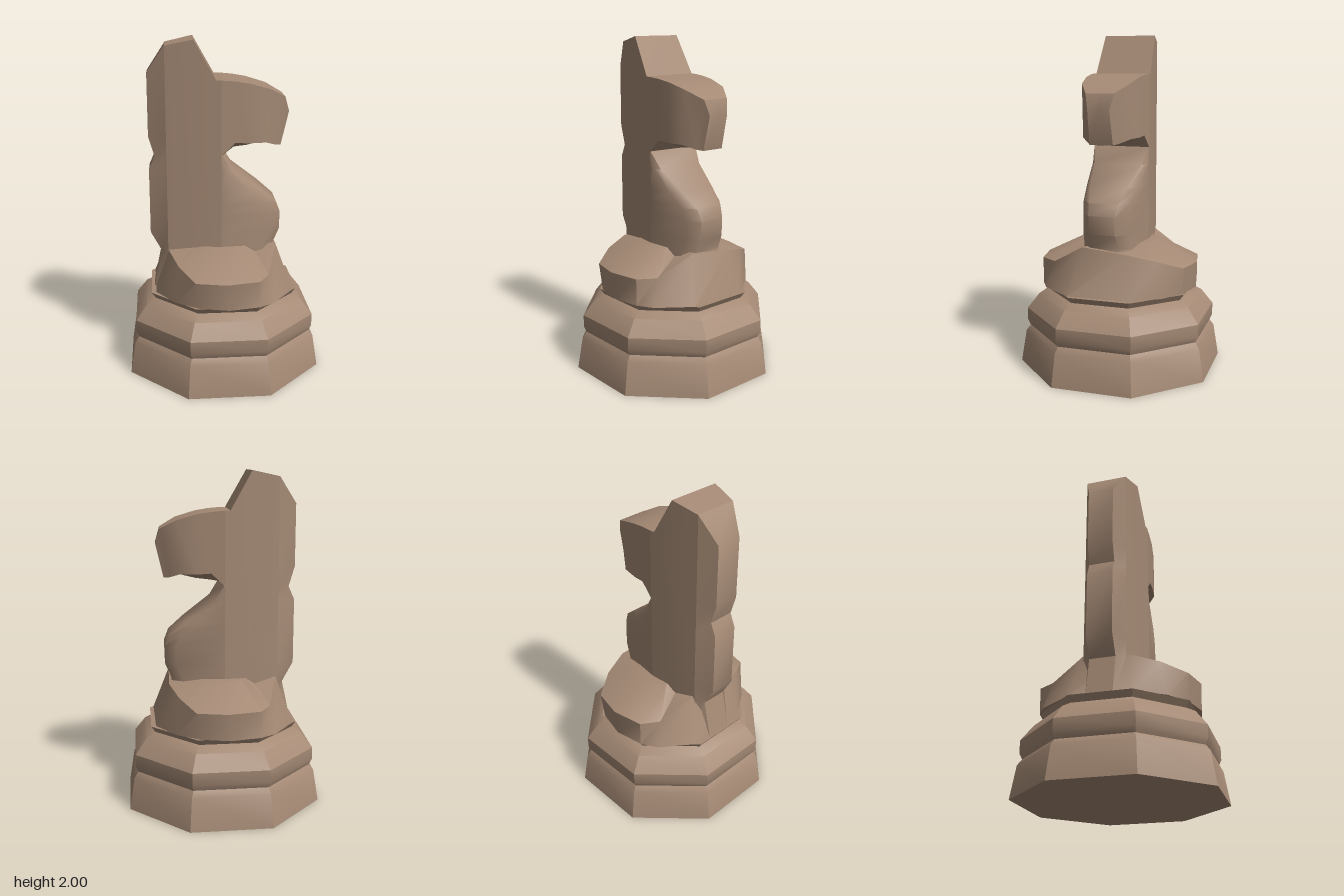
import * as THREE from 'three';
import { toCreasedNormals } from 'three/addons/utils/BufferGeometryUtils.js';

const wood = new THREE.MeshStandardMaterial({ color: 0xa58a75 });
wood.name = 'walnut brown';

function part(name, geometry, crease = 0.6) {
  const mesh = new THREE.Mesh(toCreasedNormals(geometry, crease), wood);
  mesh.name = name;
  return mesh;
}

// Joins closed rings of [x, y, z] points, counter-clockwise seen from the last ring
function loft(rings, capStart = false, capEnd = false) {
  const n = rings[0].length, index = [];
  for (let i = 0; i < rings.length - 1; i++) {
    for (let j = 0; j < n; j++) {
      const a = i * n + j, b = i * n + (j + 1) % n;
      index.push(a, b, b + n, a, b + n, a + n);
    }
  }
  const last = (rings.length - 1) * n;
  for (let j = 1; j < n - 1; j++) {
    if (capStart) index.push(0, j + 1, j);
    if (capEnd) index.push(last, last + j, last + j + 1);
  }
  const g = new THREE.BufferGeometry();
  g.setAttribute('position', new THREE.Float32BufferAttribute(rings.flat(2), 3));
  g.setIndex(index);
  return g.toNonIndexed();
}

// Half thickness of the lens-shaped horse along its length
const LENS = [[-0.435, 0.077], [-0.33, 0.126], [-0.167, 0.157], [-0.01, 0.175],
  [0.15, 0.163], [0.27, 0.143], [0.345, 0.1], [0.39, 0.065]];
function halfWidth(u) {
  for (let i = 1; i < LENS.length; i++) {
    const [u0, w0] = LENS[i - 1], [u1, w1] = LENS[i];
    if (u <= u1) return THREE.MathUtils.mapLinear(Math.max(u, u0), u0, u1, w0, w1);
  }
  return 0.065;
}

// Upright cross-section: lower and upper edges, with a keel height at the middle
function section(uLo, lo, uHi, hi, keel = lo, wLo = halfWidth(uLo), wHi = halfWidth(uHi)) {
  return [[uHi, hi, 0], [uHi, hi, wHi], [uLo, lo, wLo],
    [uLo, keel, 0], [uLo, lo, -wLo], [uHi, hi, -wHi]];
}

export function createModel() {
  const model = new THREE.Group();
  model.name = 'chessKnight';

  // Eight-sided turned base
  const profile = [[0, 0], [0.625, 0], [0.592, 0.195], [0.565, 0.23], [0.582, 0.265],
    [0.582, 0.34], [0.51, 0.43], [0.45, 0.463], [0.476, 0.5], [0, 0.5]];
  model.add(part('base', new THREE.LatheGeometry(
    profile.map(([x, y]) => new THREE.Vector2(x, y)), 8)));

  // Collar: half a rim, repeated by a half turn
  const half = [[0, 0.66, -0.48], [0.19, 0.66, -0.44], [0.34, 0.66, -0.335],
    [0.37, 0.71, -0.17], [0.355, 0.75, 0], [0.24, 0.775, 0.25], [0.1, 0.66, 0.41]];
  const rim = [...half, ...half.map(([x, y, z]) => [-x, y, -z])].reverse();
  const foot = rim.map(([x, , z]) => {
    const a = Math.atan2(z, x);
    return [0.445 * Math.cos(a), 0.5, 0.478 * Math.sin(a)];
  });
  const top = rim.map(([x, , z]) => [x * 0.5, 0.78, z * 0.5]);
  model.add(part('collar', loft([foot, rim, top], true, true)));

  // Horse, turned a little from the x axis
  const horse = new THREE.Group();
  horse.name = 'horse';
  horse.rotation.y = -0.419;
  model.add(horse);

  // Mane along the back, with a notch half way up: [y, back u, inner y]
  const mane = [[0.5, -0.42], [0.73, -0.37], [0.85, -0.435], [1.24, -0.435],
    [1.32, -0.4], [1.44, -0.435], [1.81, -0.435, 1.965]];
  horse.add(part('mane', loft(mane.map(([y, u, yIn = y]) => {
    const w = 0.077;
    return [[-0.33, yIn, 0.126], [-0.33, yIn, -0.126], [u, y, -w], [u, y, w]];
  }), false, true)));

  // Neck and ears
  horse.add(part('neckAndEars', loft([
    section(-0.33, 0.52, -0.33, 1.965),
    section(-0.167, 0.52, -0.167, 2),
    section(-0.04, 0.52, -0.04, 1.775),
    section(-0.01, 0.52, -0.01, 1.775),
  ])));

  // Head with rounded jaw and slanted muzzle
  horse.add(part('head', loft([
    section(-0.01, 1.34, -0.01, 1.775),
    section(0.07, 1.415, 0.07, 1.768, 1.355),
    section(0.15, 1.41, 0.15, 1.755, 1.365),
    section(0.25, 1.41, 0.27, 1.72, 1.39),
    section(0.31, 1.385, 0.365, 1.668, 1.385, 0.09),
    section(0.345, 1.38, 0.391, 1.58, 1.38, 0.07, 0.065),
  ], false, true)));

  // Chest: [y, front u, half width of the front]
  const chest = [[0.5, 0.41, 0.08], [0.6, 0.36, 0.08], [0.77, 0.305, 0.09], [0.86, 0.345, 0.08],
    [0.97, 0.348, 0.08], [1.04, 0.32, 0.09], [1.12, 0.225, 0.115], [1.24, 0.06, 0.15],
    [1.34, -0.005, 0.173]];
  horse.add(part('chest', loft(chest.map(([y, u, f]) => {
    const s = u - Math.min(0.07, (u + 0.01) / 2), w = halfWidth(s);
    return [[-0.01, y, 0.175], [s, y, w], [u, y, f],
      [u, y, -f], [s, y, -w], [-0.01, y, -0.175]];
  }), false, true), 0.9));

  return model;
}
